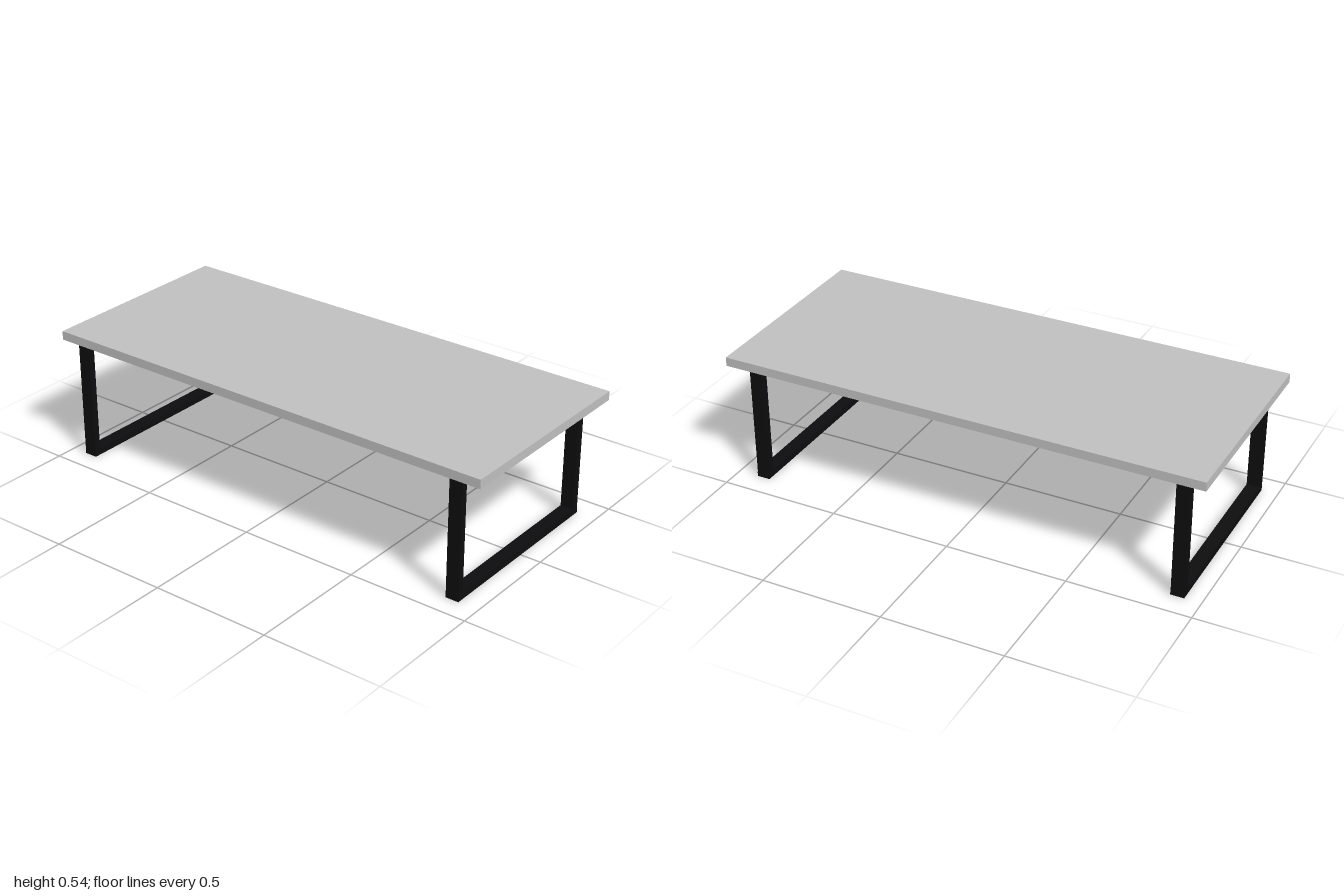
import * as THREE from 'three';

const grey = new THREE.MeshStandardMaterial({ color: 0xc0c0c0 });
grey.name = 'lightGrey';
const black = new THREE.MeshStandardMaterial({ color: 0x0d0d0f });
black.name = 'blackMetal';

// Box given by its lower and upper corners
function box(name, material, [x0, y0, z0], [x1, y1, z1]) {
  const mesh = new THREE.Mesh(new THREE.BoxGeometry(x1 - x0, y1 - y0, z1 - z0), material);
  mesh.position.set((x0 + x1) / 2, (y0 + y1) / 2, (z0 + z1) / 2);
  mesh.name = name;
  return mesh;
}

// U-shaped support: two flat uprights joined by a floor bar
function legFrame(name, z) {
  const frame = new THREE.Group();
  const d = 0.0275, top = 0.5, bar = 0.027;
  frame.add(
    box('rightUpright', black, [-0.413, 0, -d], [-0.386, top, d]),
    box('leftUpright', black, [0.37, 0, -d], [0.401, top, d]),
    box('floorBar', black, [-0.386, 0, -d], [0.37, bar, d]),
    box('barEnd', black, [0.401, 0, -d], [0.403, 0.02, d])
  );
  frame.position.z = z;
  frame.name = name;
  return frame;
}

export function createModel() {
  const table = new THREE.Group();
  table.name = 'lowTable';
  table.add(
    box('tabletop', grey, [-0.433, 0.5, -1], [0.433, 0.537, 1]),
    legFrame('frontLegFrame', 0.887),
    legFrame('backLegFrame', -0.904)
  );
  return table;
}
